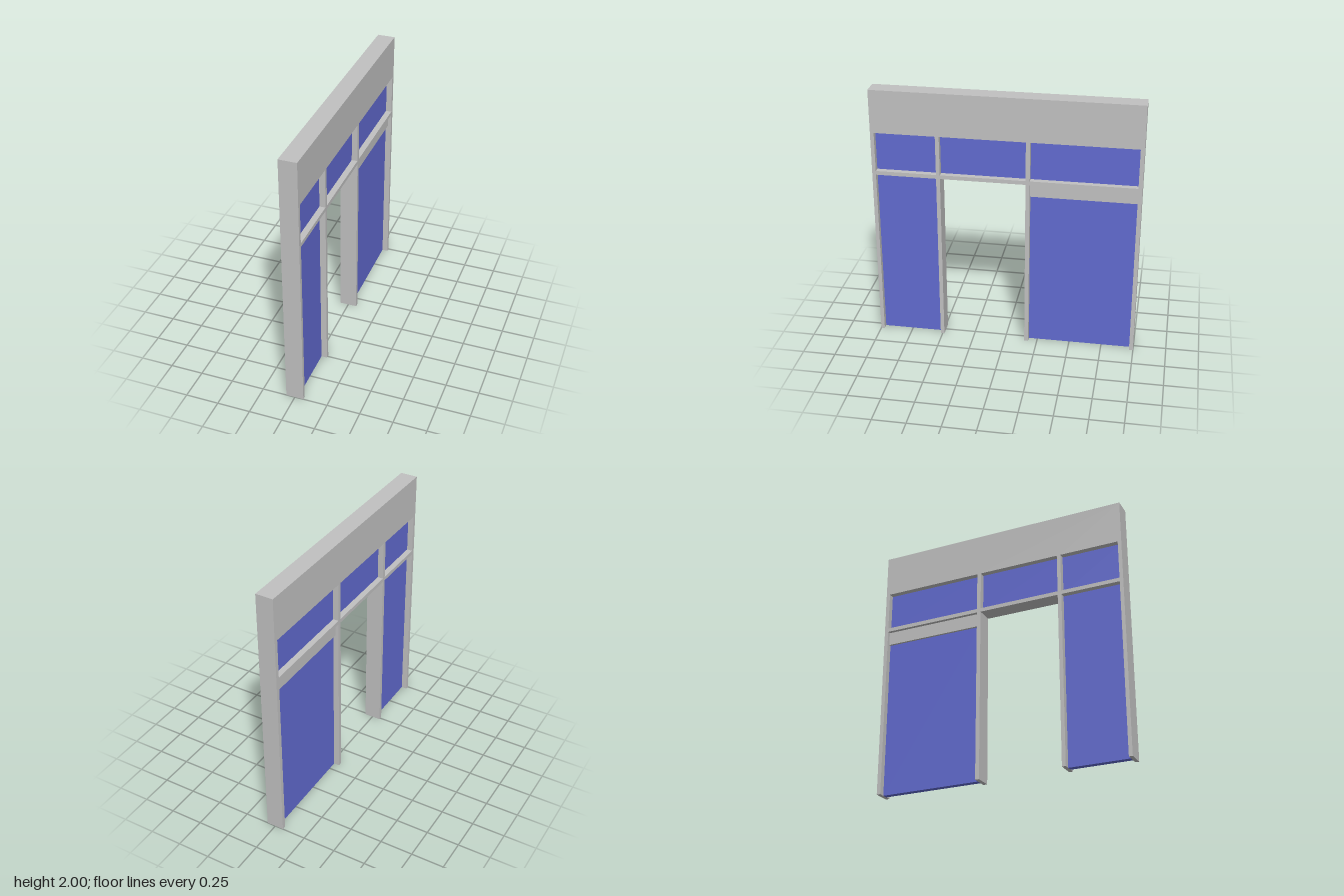
import * as THREE from 'three';

const DEPTH = 0.133;   // frame depth along x
const GLASS = 0.044;   // pane thickness
const BLIND = 0.08;    // blind box thickness
const HEAD = 1.67;     // underside of the header
const BAR_TOP = 1.367, BAR_BOTTOM = 1.337; // transom bar

// Bays between the uprights, as [z min, z max]
const bays = {
  wide: [-0.97, -0.183],
  door: [-0.152, 0.486],
  narrow: [0.515, 0.972],
};

export function createModel() {
  const group = new THREE.Group();
  const frameGrey = new THREE.MeshStandardMaterial({ color: 0xc0c0c0 });
  frameGrey.name = 'frame grey';
  const glassBlue = new THREE.MeshStandardMaterial({ color: 0x616acf });
  glassBlue.name = 'glass blue';

  const add = (name, geometry, material) => {
    const mesh = new THREE.Mesh(geometry, material);
    mesh.name = name;
    group.add(mesh);
    return mesh;
  };

  // Slab filling a bay between two heights, centred in the frame depth
  const slab = (name, [z0, z1], y0, y1, thickness, material) => {
    const mesh = add(name, new THREE.BoxGeometry(thickness, y1 - y0, z1 - z0), material);
    mesh.position.set(0, (y0 + y1) / 2, (z0 + z1) / 2);
  };

  // Frame: outline with three bays open to the floor and three transom lights
  const shape = new THREE.Shape();
  shape.moveTo(-1, 0);
  for (const [z0, z1] of Object.values(bays)) {
    shape.lineTo(z0, 0);
    shape.lineTo(z0, BAR_BOTTOM);
    shape.lineTo(z1, BAR_BOTTOM);
    shape.lineTo(z1, 0);
    const hole = new THREE.Path();
    hole.moveTo(z0, BAR_TOP);
    hole.lineTo(z0, HEAD);
    hole.lineTo(z1, HEAD);
    hole.lineTo(z1, BAR_TOP);
    hole.closePath();
    shape.holes.push(hole);
  }
  shape.lineTo(1, 0);
  shape.lineTo(1, 2);
  shape.lineTo(-1, 2);
  shape.closePath();
  const frame = new THREE.ExtrudeGeometry(shape, { depth: DEPTH, bevelEnabled: false });
  frame.translate(0, 0, -DEPTH / 2).rotateY(-Math.PI / 2);
  add('frame', frame, frameGrey);

  // Transom panes over every bay
  for (const [name, bay] of Object.entries(bays)) {
    slab(`${name}TransomPane`, bay, BAR_TOP, HEAD, GLASS, glassBlue);
  }

  // Side panes and the blind box above the wide one
  slab('narrowSidePane', bays.narrow, 0, BAR_BOTTOM, GLASS, glassBlue);
  slab('wideSidePane', bays.wide, 0, 1.233, GLASS, glassBlue);
  slab('blindBox', bays.wide, 1.233, BAR_BOTTOM, BLIND, frameGrey);

  return group;
}
